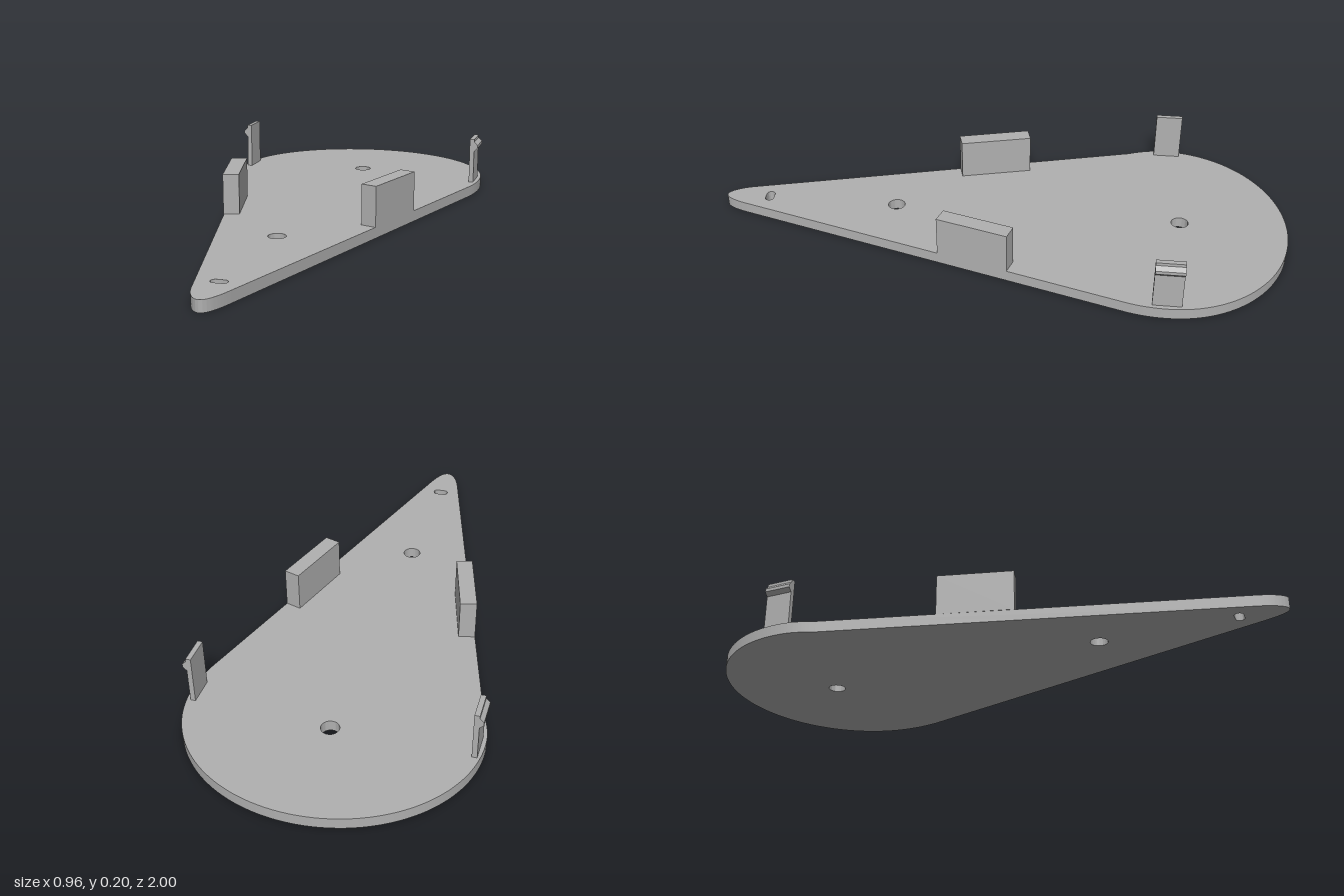
import * as THREE from 'three';
import { toCreasedNormals } from 'three/addons/utils/BufferGeometryUtils.js';

const THICKNESS = 0.038;

// Extrudes a shape drawn in (x, z) upward from y = base to y = top
function slab(shape, base, top) {
  const geo = new THREE.ExtrudeGeometry(shape, { depth: top - base, bevelEnabled: false, curveSegments: 32 });
  geo.rotateX(Math.PI / 2).translate(0, top, 0);
  return toCreasedNormals(geo, 0.5);
}

const polygon = (points) => new THREE.Shape(points.map(([x, y]) => new THREE.Vector2(x, y)));

export function createModel() {
  const model = new THREE.Group();
  const grey = new THREE.MeshStandardMaterial({ color: 0xb0b0b0 });
  grey.name = 'grey plastic';

  const add = (name, geometry) => {
    const mesh = new THREE.Mesh(geometry, grey);
    mesh.name = name;
    model.add(mesh);
    return mesh;
  };

  // Teardrop plate: wide round back, straight sides, small rounded tip
  const outline = new THREE.Shape();
  outline.moveTo(-0.455, -0.468);
  outline.quadraticCurveTo(-0.48, -0.53, -0.48, -0.58);
  outline.absellipse(0, -0.58, 0.48, 0.42, Math.PI, Math.PI * 2, false, 0);
  outline.quadraticCurveTo(0.48, -0.5, 0.455, -0.428);
  outline.lineTo(-0.02, 0.907);
  outline.bezierCurveTo(-0.04, 0.965, -0.06, 1, -0.08, 1);
  outline.bezierCurveTo(-0.1, 1, -0.122, 0.965, -0.135, 0.911);
  outline.closePath();

  // Two round holes and a slot near the tip
  for (const [x, z] of [[0, -0.63], [-0.052, 0.376]]) {
    outline.holes.push(new THREE.Path().absarc(x, z, 0.03, 0, Math.PI * 2, true));
  }
  const slot = new THREE.Path();
  slot.absarc(-0.065, 0.843, 0.015, Math.PI / 2, -Math.PI / 2, true);
  slot.absarc(-0.09, 0.843, 0.015, -Math.PI / 2, -Math.PI * 1.5, true);
  slot.closePath();
  outline.holes.push(slot);
  add('basePlate', slab(outline, 0, THICKNESS));

  // Upright blocks flush with the straight sides
  add('rightBlock', slab(polygon([[-0.365, -0.08], [-0.31, -0.092], [-0.255, 0.157], [-0.309, 0.17]]), THICKNESS, 0.178));
  add('leftBlock', slab(polygon([[0.317, -0.04], [0.233, 0.199], [0.18, 0.18], [0.264, -0.059]]), THICKNESS, 0.178));

  // Snap clips: thin posts with an outward catch below the top
  const clip = (name, side, x, z) => {
    const profile = polygon([
      [-0.008, 0], [0.009, 0], [0.009, 0.157], [0.022, 0.17],
      [0.022, 0.181], [0.009, 0.194], [0.009, 0.204], [-0.008, 0.204],
    ].map(([px, py]) => [px * side, py]));
    const geo = new THREE.ExtrudeGeometry(profile, { depth: 0.095, bevelEnabled: false });
    const mesh = add(name, geo.translate(0, 0, -0.0475));
    mesh.position.set(x, 0.001, z);
    mesh.rotation.y = -0.05;
  };
  clip('rightClip', -1, -0.456, -0.61);
  clip('leftClip', 1, 0.455, -0.558);

  return model;
}
